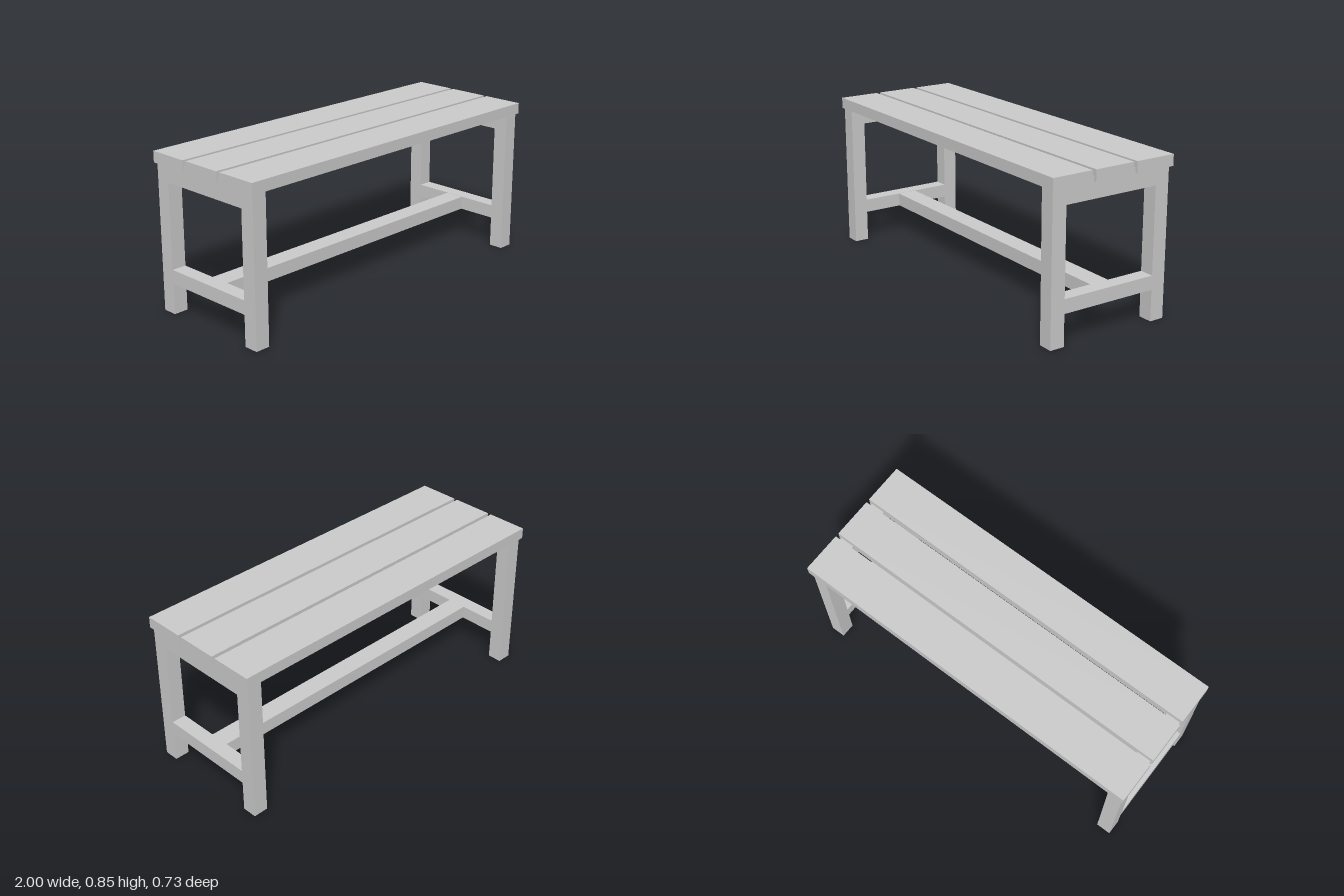
import * as THREE from 'three';

const material = new THREE.MeshStandardMaterial({ color: 0xcccccc, flatShading: true });

function addBox(group, name, size, position) {
  const mesh = new THREE.Mesh(new THREE.BoxGeometry(...size), material);
  mesh.name = name;
  mesh.position.set(...position);
  group.add(mesh);
}

// Side frame: two legs, top rail and lower rail cut from one outline
function endFrameGeometry() {
  const outer = 0.351, inner = 0.271, top = 0.815, thickness = 0.081;
  const shape = new THREE.Shape([
    [-outer, 0], [-inner, 0], [-inner, 0.168], [inner, 0.168],
    [inner, 0], [outer, 0], [outer, top], [-outer, top],
  ].map(([x, y]) => new THREE.Vector2(x, y)));
  shape.holes.push(new THREE.Path([
    [-inner, 0.243], [-inner, 0.704], [inner, 0.704], [inner, 0.243],
  ].map(([x, y]) => new THREE.Vector2(x, y))));
  const geometry = new THREE.ExtrudeGeometry(shape, { depth: thickness, bevelEnabled: false });
  geometry.translate(0, 0, -thickness / 2);
  geometry.rotateY(Math.PI / 2);
  return geometry;
}

export function createModel() {
  const bench = new THREE.Group();
  bench.name = 'bench';

  // Three seat planks with narrow gaps
  for (const i of [-1, 0, 1]) {
    addBox(bench, `seatPlank${i + 2}`, [2, 0.06, 0.228], [0, 0.82, 0.0015 + i * 0.249]);
  }

  // End frames, let into the underside of the planks
  const frame = endFrameGeometry();
  for (const [name, x] of [['rightEndFrame', -0.949], ['leftEndFrame', 0.945]]) {
    const mesh = new THREE.Mesh(frame, material);
    mesh.name = name;
    mesh.position.set(x, 0, 0.004);
    bench.add(mesh);
  }

  // Long stretcher joining the lower rails
  addBox(bench, 'stretcher', [1.813, 0.073, 0.11], [-0.002, 0.2055, 0]);

  return bench;
}
